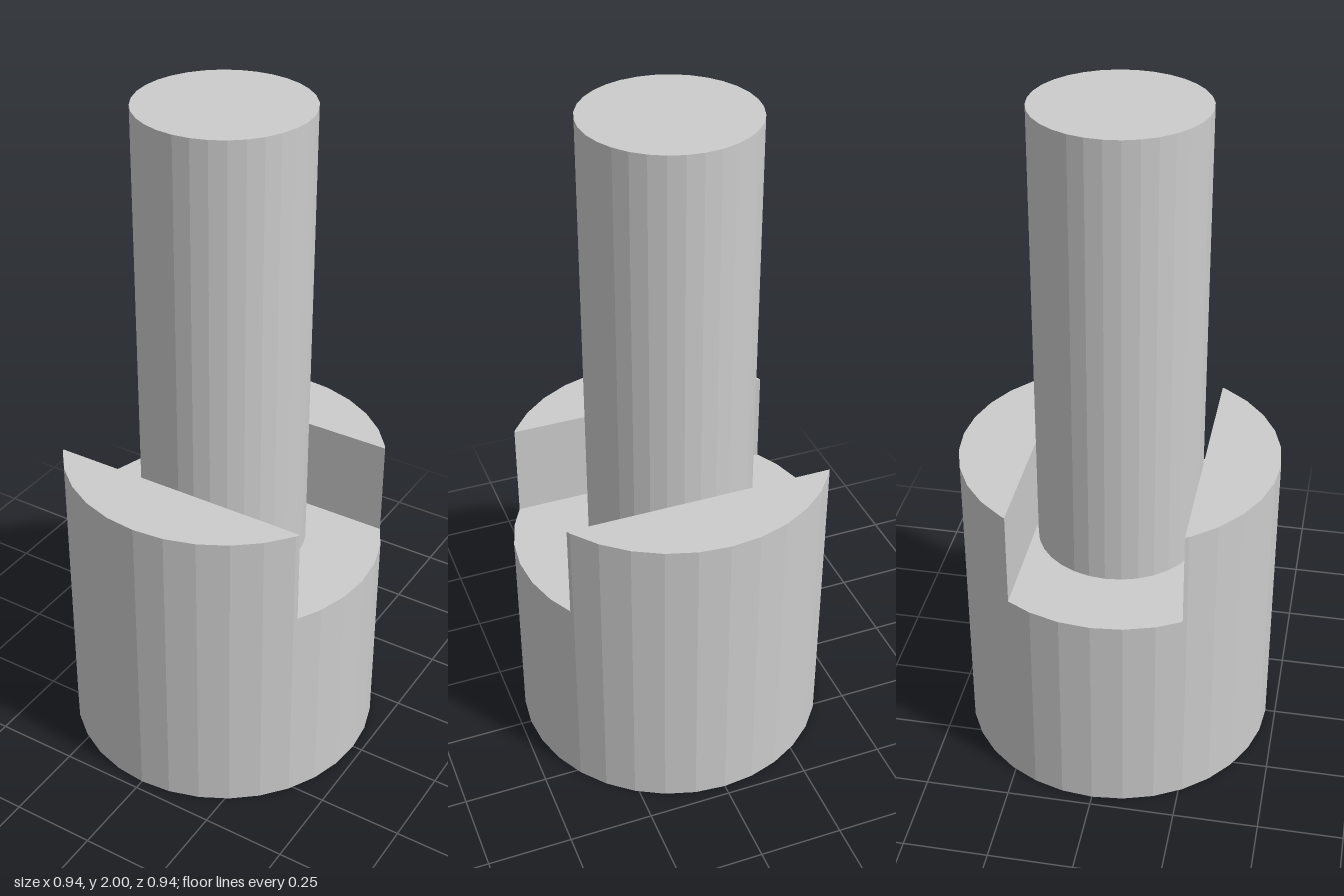
import * as THREE from 'three';

const SIDES = 32;
const BASE_R = 0.47, SLOT_Y = 0.65, CHEEK_Y = 0.94, SLOT_HALF = 0.25;
const SHAFT_R = 0.245, TOP_Y = 2;

export function createModel() {
  const model = new THREE.Group();
  model.name = 'slottedShaftCoupling';
  const steel = new THREE.MeshStandardMaterial({ color: 0xcccccc });
  steel.name = 'plain grey';
  steel.flatShading = true;

  const add = (name, geometry, y) => {
    const mesh = new THREE.Mesh(geometry, steel);
    mesh.name = name;
    mesh.position.y = y;
    model.add(mesh);
    return mesh;
  };

  // Solid lower body
  add('base', new THREE.CylinderGeometry(BASE_R, BASE_R, SLOT_Y, SIDES), SLOT_Y / 2);

  // Shaft standing on the slot floor
  const shaftH = TOP_Y - SLOT_Y;
  add('shaft', new THREE.CylinderGeometry(SHAFT_R, SHAFT_R, shaftH, SIDES), SLOT_Y + shaftH / 2);

  // Circle segment left beside the slot: facet corners plus the cut ends
  const corners = [];
  for (let i = 0; i <= SIDES / 2; i++) {
    const a = (i / SIDES) * Math.PI * 2;
    corners.push(new THREE.Vector2(Math.cos(a) * BASE_R, Math.sin(a) * BASE_R));
  }
  const first = corners.findIndex((p) => p.y > SLOT_HALF);
  const outline = corners.filter((p) => p.y > SLOT_HALF);
  const below = corners[first - 1], above = corners[first];
  const cut = below.clone().lerp(above, (SLOT_HALF - below.y) / (above.y - below.y));
  outline.unshift(cut);
  outline.push(new THREE.Vector2(-cut.x, cut.y));

  // Two cheeks, one on each side of the slot
  const cheek = new THREE.ExtrudeGeometry(new THREE.Shape(outline), {
    depth: CHEEK_Y - SLOT_Y, bevelEnabled: false,
  }).rotateX(-Math.PI / 2);
  add('backCheek', cheek, SLOT_Y);
  add('frontCheek', cheek, SLOT_Y).rotation.y = Math.PI;

  return model;
}
